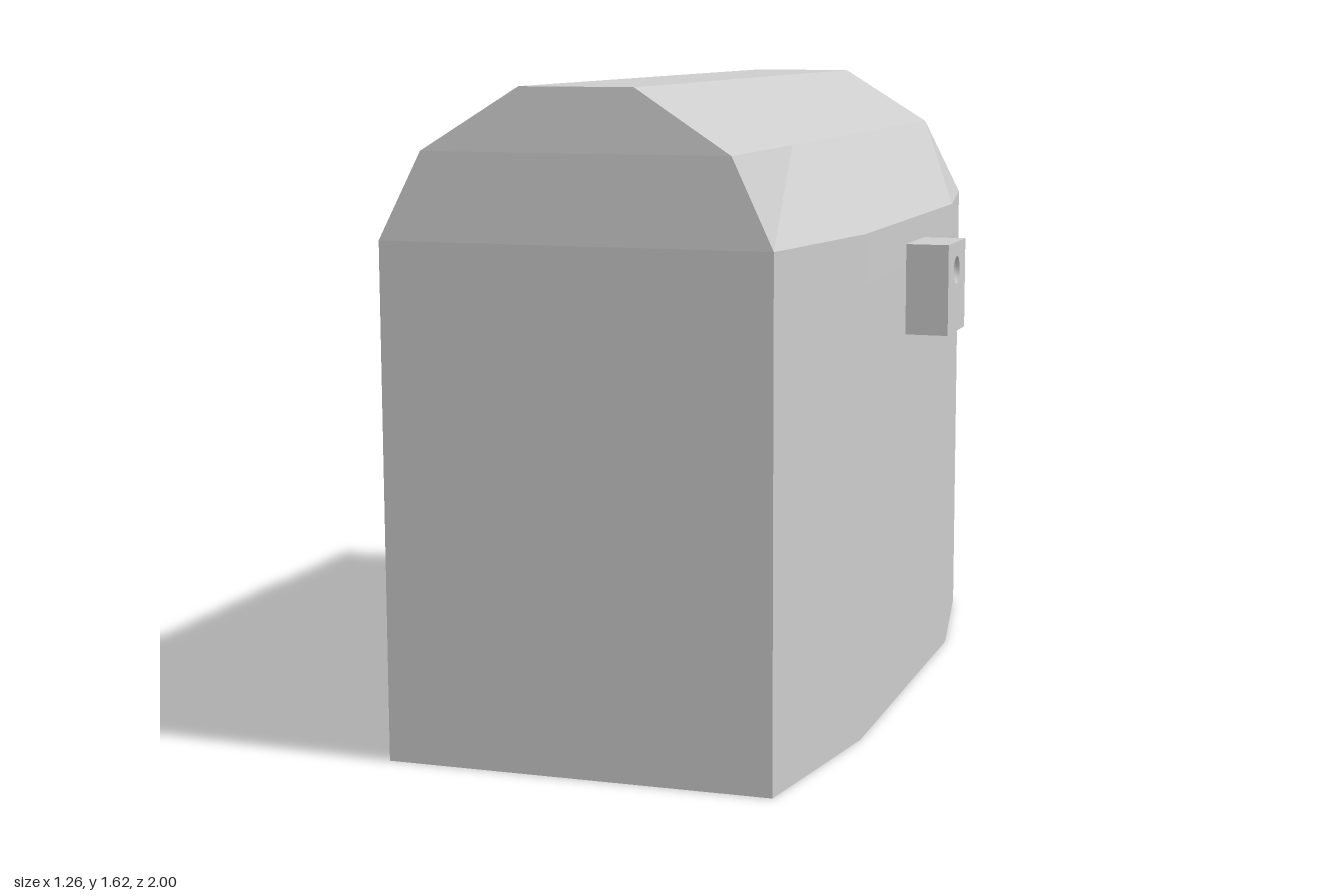
import * as THREE from 'three';

const grey = new THREE.MeshStandardMaterial({ color: 0xcccccc, side: THREE.DoubleSide });
grey.name = 'plain grey';
const CX = -0.065; // the chest sits slightly off centre, the lock balances it

// Eight-sided plan outline: bulging long sides, straight ends
function ring(y, midX, endX, midZ, endZ) {
  return [
    [midX, midZ], [midX, -midZ], [endX, -endZ], [-endX, -endZ],
    [-midX, -midZ], [-midX, midZ], [-endX, endZ], [endX, endZ],
  ].map(([x, z]) => [CX + x, y, z]);
}

// Flat-shaded solid skinned through a stack of rings, capped at both ends
function loft(rings) {
  const pos = [];
  const tri = (a, b, c) => pos.push(...a, ...b, ...c);
  const n = rings[0].length;
  for (let r = 0; r < rings.length - 1; r++) {
    const lo = rings[r], hi = rings[r + 1];
    for (let i = 0; i < n; i++) {
      const j = (i + 1) % n;
      tri(lo[i], lo[j], hi[j]);
      tri(lo[i], hi[j], hi[i]);
    }
  }
  const bottom = rings[0], top = rings[rings.length - 1];
  for (let i = 1; i < n - 1; i++) {
    tri(bottom[0], bottom[i + 1], bottom[i]);
    tri(top[0], top[i], top[i + 1]);
  }
  const geo = new THREE.BufferGeometry();
  geo.setAttribute('position', new THREE.Float32BufferAttribute(pos, 3));
  geo.computeVertexNormals();
  return geo;
}

function add(parent, name, geo) {
  const mesh = new THREE.Mesh(geo, grey);
  mesh.name = name;
  parent.add(mesh);
  return mesh;
}

export function createModel() {
  const chest = new THREE.Group();
  chest.name = 'chest';

  add(chest, 'chestBody', loft([
    ring(0, 0.563, 0.481, 0.5, 1),
    ring(1.14, 0.566, 0.481, 0.5, 1),
  ]));

  // Faceted barrel lid, its ends leaning inwards
  add(chest, 'lid', loft([
    ring(1.14, 0.566, 0.481, 0.5, 1),
    ring(1.26, 0.566, 0.481, 0.5, 1),
    ring(1.47, 0.378, 0.378, 0.485, 0.985),
    ring(1.62, 0.14, 0.14, 0.48, 0.963),
  ]));

  // Lock block standing just off the +x side, with a round keyhole dimple
  const lock = new THREE.Group();
  lock.name = 'lock';
  chest.add(lock);

  const plate = new THREE.Shape([
    [-0.145, 0.973], [0.062, 0.973], [0.062, 1.205], [-0.145, 1.205],
  ].map(([x, y]) => new THREE.Vector2(x, y)));
  const hole = new THREE.Path();
  hole.absarc(-0.043, 1.132, 0.036, 0, Math.PI * 2, true);
  plate.holes.push(hole);
  const face = new THREE.ExtrudeGeometry(plate, { depth: 0.04, bevelEnabled: false, curveSegments: 16 });
  face.rotateY(Math.PI / 2).translate(0.59, 0, 0);
  add(lock, 'lockFace', face);

  const back = new THREE.BoxGeometry(0.07, 0.232, 0.207).translate(0.555, 1.089, 0.0415);
  add(lock, 'lockBack', back);

  const bowl = new THREE.SphereGeometry(0.036, 24, 8, 0, Math.PI * 2, 0, Math.PI / 2);
  bowl.rotateZ(Math.PI / 2).translate(0.629, 1.132, 0.043);
  add(lock, 'keyholeDimple', bowl);

  return chest;
}
